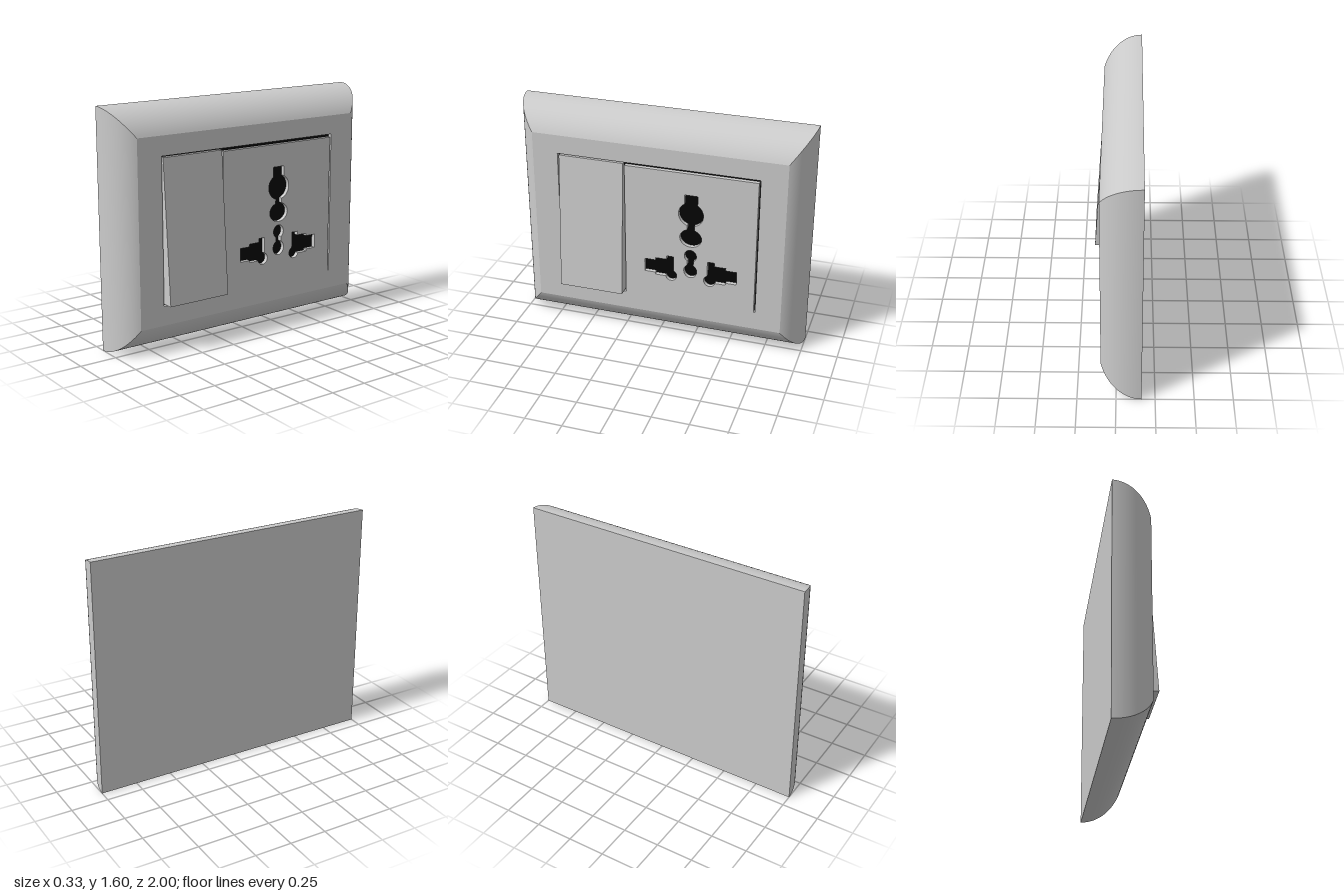
import * as THREE from 'three';

const BACK = -0.163, FACE = 0.1, FLOOR = 0.07;
const grey = new THREE.MeshStandardMaterial({ color: 0xcccccc });
const black = new THREE.MeshStandardMaterial({ color: 0x050505 });

const mesh = (name, geometry, material = grey) => {
  const m = new THREE.Mesh(geometry, material);
  m.name = name;
  return m;
};

const pts = (list) => list.map(([x, y]) => new THREE.Vector2(x, y));
const rect = (x0, x1, y0, y1) => pts([[x0, y0], [x1, y0], [x1, y1], [x0, y1]]);

// Points on an elliptical arc, angles in degrees
function arc(cx, cy, rx, ry, a0, a1, n = 20) {
  return Array.from({ length: n + 1 }, (_, i) => {
    const a = THREE.MathUtils.degToRad(a0 + (a1 - a0) * i / n);
    return [cx + rx * Math.cos(a), cy + ry * Math.sin(a)];
  });
}

// Slab facing +x; shape coordinates are (-z, y)
function slab(outline, holes) {
  const shape = new THREE.Shape(outline);
  holes.forEach((h) => shape.holes.push(new THREE.Path(h)));
  const g = new THREE.ExtrudeGeometry(shape, { depth: FACE - FLOOR, bevelEnabled: false });
  return g.translate(0, 0, FLOOR).rotateY(Math.PI / 2);
}

// One curved, mitred side of the bezel between two neighbouring corners
function bezelSide(a, b) {
  const n = 20, sweep = 2 * Math.atan(0.18 / (FACE - BACK));
  const r = (FACE - BACK) / Math.sin(sweep);
  const pos = [], idx = [];
  for (let i = 0; i <= n; i++) {
    const t = sweep * i / n, inset = r * (1 - Math.cos(t));
    for (const [sz, sy] of [a, b]) {
      pos.push(BACK + r * Math.sin(t), 0.8 + sy * (0.8 - inset), sz * (1 - 0.75 * inset));
    }
    if (i < n) {
      const k = i * 2;
      idx.push(k, k + 1, k + 2, k + 1, k + 3, k + 2);
    }
  }
  const g = new THREE.BufferGeometry();
  g.setAttribute('position', new THREE.Float32BufferAttribute(pos, 3));
  g.setIndex(idx);
  g.computeVertexNormals();
  return g;
}

// Socket openings, all placed around the line z = -0.235
function socketHoles() {
  const cx = 0.235;
  const symmetric = (half) => pts([
    ...half.map(([x, y]) => [cx + x, y]),
    ...half.slice().reverse().filter(([x]) => x > 1e-4).map(([x, y]) => [cx - x, y]),
  ]);
  const earth = symmetric([
    [0.045, 1.115],
    ...arc(0, 0.975, 0.085, 0.085, 58, -73),
    ...arc(0, 0.8, 0.075, 0.065, 70, -90),
  ]);
  const centre = symmetric([
    ...arc(0, 0.665, 0.042, 0.045, 90, -60),
    ...arc(0, 0.55, 0.045, 0.05, 62, -90),
  ]);
  const pin = [
    [0.118, 0.64], [0.166, 0.64], [0.166, 0.613], [0.245, 0.613], [0.245, 0.595],
    [0.32, 0.595], [0.32, 0.5], [0.245, 0.5], [0.245, 0.485],
    ...arc(0.134, 0.495, 0.04, 0.04, -15, -246),
  ];
  const pins = [-1, 1].map((s) => pts(pin.map(([x, y]) => [cx + s * x, y])));
  return [earth, centre, ...pins];
}

export function createModel() {
  const group = new THREE.Group();
  group.name = 'wallSocket';

  // Curved bezel on four sides, wound so that each faces outwards
  const bezel = new THREE.Group();
  bezel.name = 'bezel';
  const corners = [[1, -1], [-1, -1], [-1, 1], [1, 1]];
  corners.forEach((c, i) => bezel.add(mesh('bezelSide', bezelSide(c, corners[(i + 1) % 4]))));
  group.add(bezel);

  // Flat back
  const back = mesh('backPlate', new THREE.PlaneGeometry(2, 1.6));
  back.rotation.y = -Math.PI / 2;
  back.position.set(BACK, 0.8, 0);
  group.add(back);

  // Front face with the opening for the inserts
  const opening = rect(-0.69, 0.69, 0.31, 1.29);
  group.add(mesh('frontFace', slab(rect(-0.865, 0.865, 0.18, 1.42), [opening])));

  // Dark floor seen through the gaps and holes
  const floor = mesh('darkInterior', new THREE.PlaneGeometry(1.4, 1), black);
  floor.rotation.y = Math.PI / 2;
  floor.position.set(FLOOR + 0.001, 0.8, 0);
  group.add(floor);

  // Socket insert
  group.add(mesh('socketPanel', slab(rect(-0.222, 0.68, 0.31, 1.269), socketHoles())));

  // Wedge-shaped rocker switch
  const wedge = new THREE.Shape(pts([[FLOOR, 0.32], [0.163, 0.32], [FACE, 1.28], [FLOOR, 1.28]]));
  const rocker = new THREE.ExtrudeGeometry(wedge, { depth: 0.448, bevelEnabled: false });
  group.add(mesh('rockerSwitch', rocker.translate(0, 0, 0.232)));

  return group;
}
